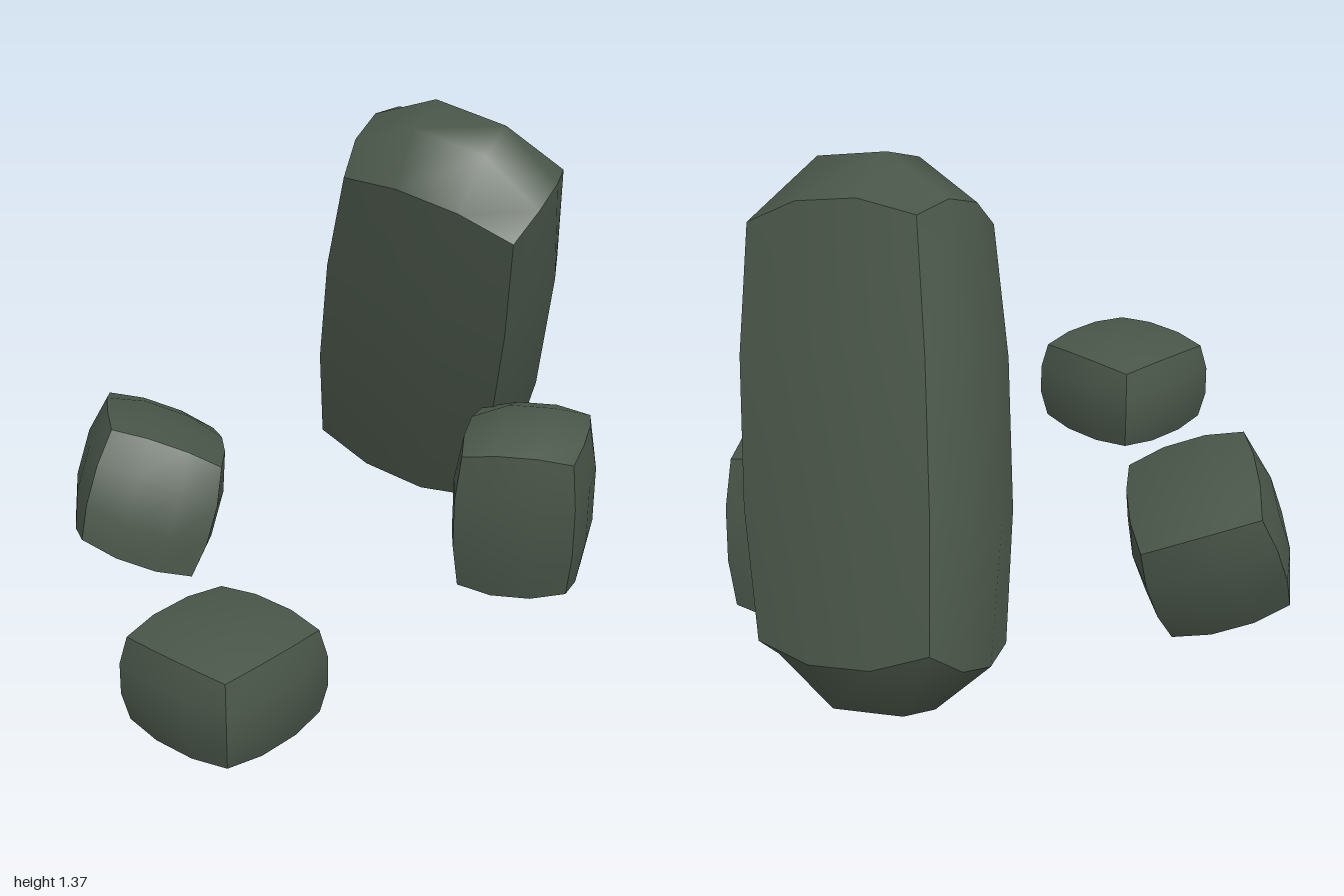
import * as THREE from 'three';

// Rounded stone: a box grid pulled in at edges and corners, then placed on three skewed axes.
// Each of the six sides stays smooth, with a crisp ridge where sides meet.
function stone(name, material, { centre, x, y, z, cap = 0 }) {
  const geometry = new THREE.BoxGeometry(2, 2, 2, 3, 3, 3);
  const pos = geometry.attributes.position;
  const p = new THREE.Vector3();
  for (let i = 0; i < pos.count; i++) {
    p.fromBufferAttribute(pos, i);
    const { x: u, y: v, z: w } = p;
    p.multiplyScalar(Math.pow(p.length(), -0.476));
    // extra swell on the two ends
    if (Math.abs(v) > 0.99) p.y += Math.sign(v) * cap * (1 - u * u) * (1 - w * w);
    pos.setXYZ(i, p.x, p.y, p.z);
  }
  const frame = new THREE.Matrix4().makeBasis(
    new THREE.Vector3(...x), new THREE.Vector3(...y), new THREE.Vector3(...z));
  frame.setPosition(...centre);
  geometry.applyMatrix4(frame);
  geometry.computeVertexNormals();
  const mesh = new THREE.Mesh(geometry, material);
  mesh.name = name;
  return mesh;
}

export function createModel() {
  const group = new THREE.Group();
  group.name = 'rocks';
  const rock = new THREE.MeshStandardMaterial({ color: 0x4a5649 });
  rock.name = 'mossy grey';

  // Axes run from the centre to the middle of each side
  const stones = {
    tallLeaningRock: {
      centre: [0.33, 0.7, -0.533],
      x: [0.273, -0.071, 0.182], y: [0.013, 0.614, 0.256], z: [-0.12, -0.074, 0.17], cap: 0.08,
    },
    uprightRock: {
      centre: [0.523, 0.27, -0.122],
      x: [0.19, 0, 0.058], y: [0, 0.269, 0.02], z: [-0.071, -0.006, 0.192], cap: 0.05,
    },
    tiltedRock: {
      centre: [-0.523, 0.295, -0.303],
      x: [0.193, -0.073, 0.026], y: [0.062, 0.187, -0.058], z: [0, 0.042, 0.255],
    },
    smallFrontRock: {
      centre: [-0.38, 0.29, 0.745],
      x: [0.157, 0, -0.143], y: [0, 0.15, 0], z: [0.143, 0, 0.157], cap: 0.05,
    },
  };
  for (const [name, shape] of Object.entries(stones)) group.add(stone(name, rock, shape));
  return group;
}
